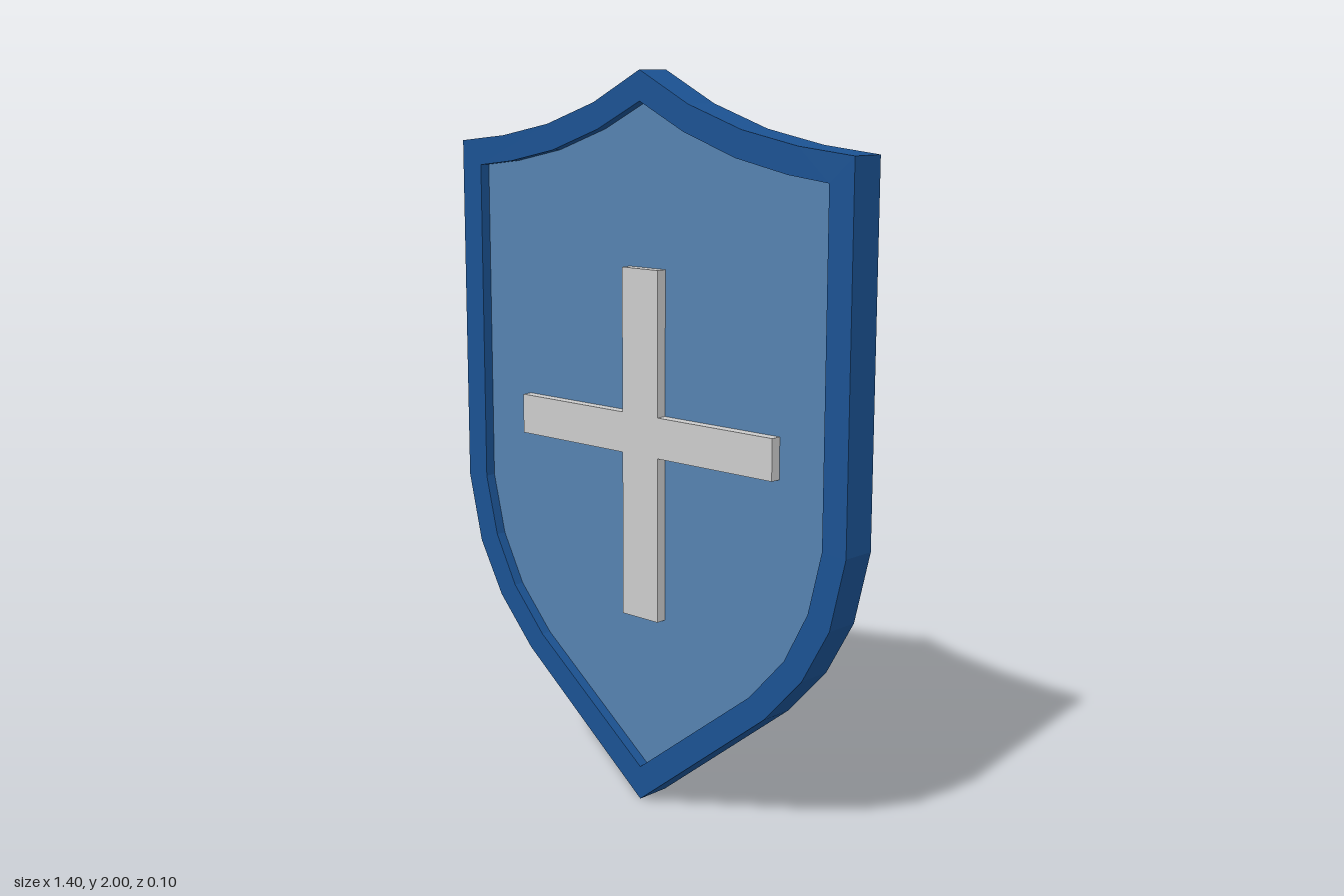
import * as THREE from 'three';

// Right half outlines, from top point to bottom point
const OUTER = [[0, 2], [0.17, 1.915], [0.35, 1.855], [0.53, 1.82], [0.702, 1.802],
  [0.702, 0.825], [0.655, 0.63], [0.57, 0.48], [0.445, 0.345], [0, 0]];
const INNER = [[0, 1.92], [0.155, 1.845], [0.33, 1.785], [0.5, 1.75], [0.627, 1.735],
  [0.627, 0.83], [0.585, 0.66], [0.51, 0.52], [0.395, 0.395], [0, 0.095]];

// Full counter-clockwise outline from a half, mirrored across x = 0
function mirrored(half) {
  const left = half.slice(1, -1).map(([x, y]) => [-x, y]);
  return [half[0], ...left, ...half.slice(1).reverse()].map(([x, y]) => new THREE.Vector2(x, y));
}

// Flat slab of a shape between two depths
function slab(name, shape, z0, z1, color) {
  const geometry = new THREE.ExtrudeGeometry(shape, { depth: z1 - z0, bevelEnabled: false });
  geometry.translate(0, 0, z0);
  const mesh = new THREE.Mesh(geometry, new THREE.MeshStandardMaterial({ color, flatShading: true }));
  mesh.name = name;
  return mesh;
}

export function createModel() {
  const group = new THREE.Group();
  group.name = 'shield';

  // Raised border, open in the middle
  const rimShape = new THREE.Shape(mirrored(OUTER));
  rimShape.holes.push(new THREE.Path(mirrored(INNER)));
  group.add(slab('rim', rimShape, -0.05, 0.05, 0x1b5292));

  // Panel recessed on both faces
  group.add(slab('panel', new THREE.Shape(mirrored(INNER)), -0.02, 0.02, 0x5582b0));

  // Cross on the front of the panel, drawn as half its outline
  const w = 0.065, armX = 0.462, low = 0.983, high = 1.094;
  const crossHalf = [[0, 1.486], [w, 1.486], [w, high], [armX, high],
    [armX, low], [w, low], [w, 0.528], [0, 0.528]];
  group.add(slab('cross', new THREE.Shape(mirrored(crossHalf)), 0.02, 0.05, 0xcccccc));

  return group;
}
